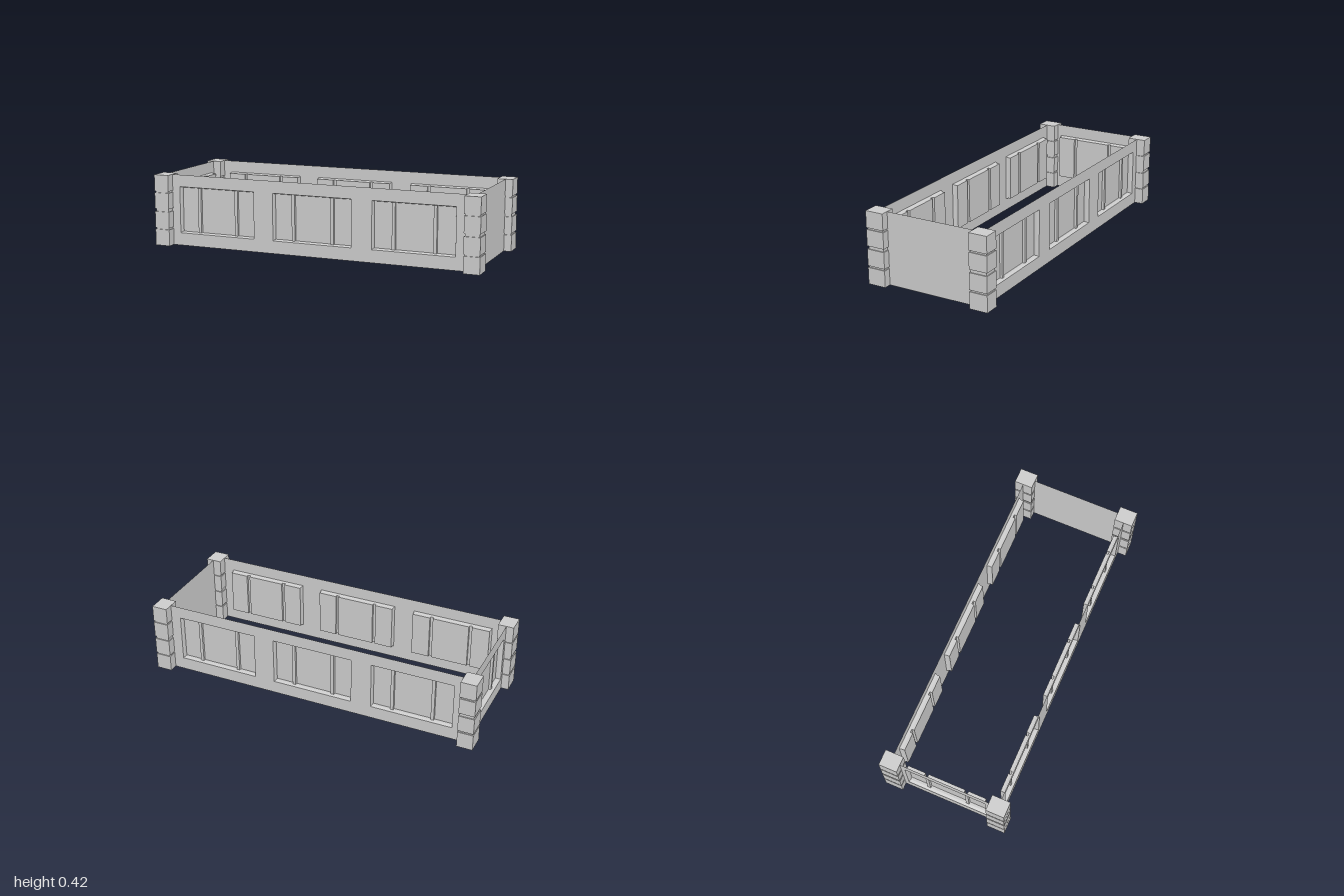
import * as THREE from 'three';

const HEIGHT = 0.424;
const PANEL_W = 0.487, PANEL_Y0 = 0.075, PANEL_Y1 = 0.353;
const LIP = 0.005, BAR_DEPTH = 0.016, PANEL_DEPTH = 0.031;
const material = new THREE.MeshStandardMaterial({ color: 0xcccccc, flatShading: true, side: THREE.DoubleSide });

// Geometry from quads, corners anticlockwise seen from the front
function quadGeometry(quads) {
  const points = [];
  for (const [a, b, c, d] of quads) points.push(...a, ...b, ...c, ...a, ...c, ...d);
  const geometry = new THREE.BufferGeometry();
  geometry.setAttribute('position', new THREE.Float32BufferAttribute(points, 3));
  geometry.computeVertexNormals();
  return geometry;
}

const corners = ([x0, y0, x1, y1], z) => [[x0, y0, z], [x1, y0, z], [x1, y1, z], [x0, y1, z]];

// Four side faces joining an outer rectangle to a deeper one
function rim(outer, inner) {
  return outer.map((p, i) => {
    const j = (i + 1) % 4;
    return [p, outer[j], inner[j], inner[i]];
  });
}

function addMesh(parent, geometry, name) {
  const mesh = new THREE.Mesh(geometry, material);
  mesh.name = name;
  parent.add(mesh);
  return mesh;
}

// Sunken panel: sloped lip, two shallow bars, three deeper fields
function recessGeometry(cx) {
  const x0 = cx - PANEL_W / 2, x1 = cx + PANEL_W / 2;
  const y0 = PANEL_Y0 + LIP, y1 = PANEL_Y1 - LIP;
  const quads = rim(
    corners([x0, PANEL_Y0, x1, PANEL_Y1], 0),
    corners([x0 + LIP, y0, x1 - LIP, y1], -BAR_DEPTH)
  );
  const bars = [-0.121, 0.121].map((o) => [cx + o - 0.0095, cx + o + 0.0095]);
  for (const [a, b] of bars) quads.push(corners([a, y0, b, y1], -BAR_DEPTH));
  const fields = [[x0 + LIP, bars[0][0]], [bars[0][1], bars[1][0]], [bars[1][1], x1 - LIP]];
  for (const [a, b] of fields) {
    const back = corners([a, y0, b, y1], -PANEL_DEPTH);
    quads.push(...rim(corners([a, y0, b, y1], -BAR_DEPTH), back), back);
  }
  return quadGeometry(quads);
}

// Thin wall facing +z, cut open at each sunken panel
function makeWall(name, halfWidth, centers) {
  const wall = new THREE.Group();
  wall.name = name;
  const shape = new THREE.Shape();
  shape.moveTo(-halfWidth, 0).lineTo(halfWidth, 0).lineTo(halfWidth, HEIGHT).lineTo(-halfWidth, HEIGHT).closePath();
  for (const cx of centers) {
    const a = cx - PANEL_W / 2, b = cx + PANEL_W / 2;
    const hole = new THREE.Path();
    hole.moveTo(a, PANEL_Y0).lineTo(a, PANEL_Y1).lineTo(b, PANEL_Y1).lineTo(b, PANEL_Y0).closePath();
    shape.holes.push(hole);
    addMesh(wall, recessGeometry(cx), 'sunkenPanel');
  }
  addMesh(wall, new THREE.ShapeGeometry(shape), 'wallSheet');
  return wall;
}

// Corner post: four stacked blocks on a slightly narrower core
function makePost(x, z) {
  const post = new THREE.Group();
  post.name = 'cornerPost';
  const w = 0.093, d = 0.109, inset = 0.006;
  const addBox = (bw, bd, y0, y1, name) => {
    addMesh(post, new THREE.BoxGeometry(bw, y1 - y0, bd), name).position.y = (y0 + y1) / 2;
  };
  const blocks = [[0, 0.097], [0.107, 0.204], [0.222, 0.317], [0.327, HEIGHT]];
  blocks.forEach(([y0, y1], i) => {
    addBox(w, d, y0, y1, 'postBlock');
    if (i > 0) addBox(w - 2 * inset, d - 2 * inset, blocks[i - 1][1], y0, 'postGroove');
  });
  post.position.set(x, 0, z);
  return post;
}

export function createModel() {
  const model = new THREE.Group();
  model.name = 'panelledEnclosure';

  // Long walls
  const centers = [-0.615, -0.006, 0.604];
  const front = makeWall('frontWall', 0.956, centers);
  front.position.z = 0.324;
  const back = makeWall('backWall', 0.956, centers.map((c) => -c));
  back.rotation.y = Math.PI;
  back.position.z = -0.324;

  // End walls: one panelled, one plain
  const right = makeWall('rightWall', 0.324, [0]);
  right.rotation.y = -Math.PI / 2;
  right.position.x = -0.956;
  const left = makeWall('leftWall', 0.324, []);
  left.rotation.y = Math.PI / 2;
  left.position.x = 0.956;
  model.add(front, back, right, left);

  // Corner posts
  for (const sx of [-1, 1]) for (const sz of [-1, 1]) model.add(makePost(sx * 0.9535, sz * 0.3225));
  return model;
}
